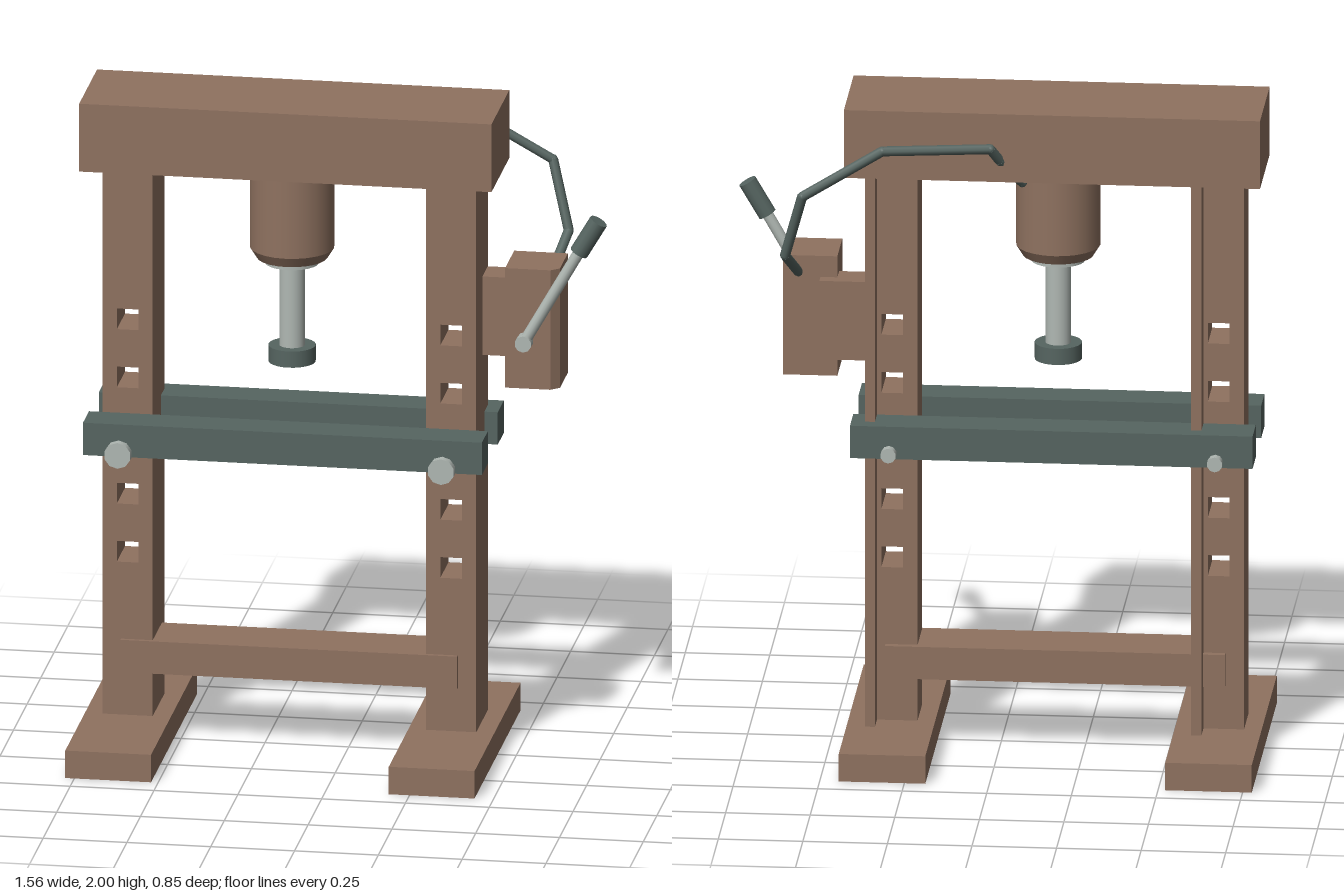
import * as THREE from 'three';

export function createModel() {
  const model = new THREE.Group();
  const mat = (name, color, flat = false) => {
    const m = new THREE.MeshStandardMaterial({ color, flatShading: flat });
    m.name = name;
    return m;
  };
  const paint = mat('brown paint', 0x8f7260);
  const darkSteel = mat('dark steel', 0x566561);
  const steel = mat('bright steel', 0xb0b8b3);

  const add = (name, geometry, material, parent = model) => {
    const mesh = new THREE.Mesh(geometry, material);
    mesh.name = name;
    parent.add(mesh);
    return mesh;
  };
  // Box given by its limits on each axis
  const box = (name, [x0, x1], [y0, y1], [z0, z1], material, parent) => {
    const mesh = add(name, new THREE.BoxGeometry(x1 - x0, y1 - y0, z1 - z0), material, parent);
    mesh.position.set((x0 + x1) / 2, (y0 + y1) / 2, (z0 + z1) / 2);
    return mesh;
  };
  // Cylinder between two points
  const rod = (name, a, b, radius, material, sides = 12, parent = model) => {
    const from = new THREE.Vector3(...a), to = new THREE.Vector3(...b);
    const dir = to.clone().sub(from);
    const mesh = add(name, new THREE.CylinderGeometry(radius, radius, dir.length(), sides), material, parent);
    mesh.position.copy(from).add(to).multiplyScalar(0.5);
    mesh.quaternion.setFromUnitVectors(new THREE.Vector3(0, 1, 0), dir.normalize());
    return mesh;
  };
  const rectangle = (Type, x0, x1, y0, y1) => {
    const s = new Type();
    s.moveTo(x0, y0);
    s.lineTo(x1, y0);
    s.lineTo(x1, y1);
    s.lineTo(x0, y1);
    s.closePath();
    return s;
  };

  // Two uprights with adjustment holes, a rear flange, a foot and a bed pin each
  for (const [side, x] of [['right', -0.65], ['left', 0.315]]) {
    const upright = new THREE.Group();
    upright.name = side + 'Upright';
    model.add(upright);
    const face = rectangle(THREE.Shape, x - 0.075, x + 0.075, 0.085, 1.79);
    for (let i = 0; i < 5; i++) {
      const y = 0.59 + i * 0.18;
      face.holes.push(rectangle(THREE.Path, x - 0.032, x + 0.032, y - 0.032, y + 0.032));
    }
    const column = new THREE.ExtrudeGeometry(face, { depth: 0.15, bevelEnabled: false });
    column.translate(0, 0, -0.09);
    add('column', column, paint, upright);
    box('rearFlange', [x + 0.045, x + 0.075], [0.085, 1.79], [-0.16, -0.09], paint, upright);
    box('foot', [x - 0.127, x + 0.129], [0, 0.085], [-0.425, 0.425], paint, upright);
    rod('bedPin', [x, 0.948, -0.23], [x, 0.948, 0.23], 0.023, steel, 10, upright);
    rod('pinHead', [x, 0.948, 0.225], [x, 0.948, 0.25], 0.04, steel, 10, upright);
  }

  // Head beam, lower brace and bed rails
  box('headBeam', [-0.78, 0.45], [1.79, 2], [-0.18, 0.15], paint);
  box('lowerBrace', [-0.67, 0.335], [0.22, 0.32], [-0.11, 0.072], paint);
  box('frontBedRail', [-0.76, 0.43], [0.93, 1.03], [0.092, 0.203], darkSteel);
  box('backBedRail', [-0.76, 0.43], [0.93, 1.03], [-0.203, -0.09], darkSteel);

  // Ram: cylinder with tapered end, collar, piston and pressing foot
  const ram = new THREE.Group();
  ram.name = 'ram';
  ram.position.set(-0.168, 0, 0.005);
  model.add(ram);
  const stack = (name, rTop, rBottom, y0, y1, material) => {
    const mesh = add(name, new THREE.CylinderGeometry(rTop, rBottom, y1 - y0, 24), material, ram);
    mesh.position.y = (y0 + y1) / 2;
  };
  stack('cylinderBody', 0.125, 0.125, 1.545, 1.79, paint);
  stack('cylinderTaper', 0.125, 0.105, 1.513, 1.545, paint);
  stack('collar', 0.08, 0.08, 1.495, 1.513, steel);
  stack('piston', 0.038, 0.038, 1.24, 1.495, steel);
  stack('pressingFoot', 0.07, 0.07, 1.19, 1.24, darkSteel);

  // Hand pump: body with one bevelled corner, on a bracket
  const pump = new THREE.Group();
  pump.name = 'handPump';
  model.add(pump);
  const plan = new THREE.Shape();
  plan.moveTo(0.475, 0.115);
  plan.lineTo(0.475, -0.053);
  plan.lineTo(0.61, -0.053);
  plan.lineTo(0.635, -0.03);
  plan.lineTo(0.635, 0.115);
  plan.closePath();
  const body = new THREE.ExtrudeGeometry(plan, { depth: 0.37, bevelEnabled: false });
  body.rotateX(-Math.PI / 2);
  body.translate(0, 1.155, 0);
  add('pumpBody', body, paint, pump);
  box('pumpBracket', [0.385, 0.525], [1.217, 1.46], [-0.153, -0.055], paint, pump);

  // Pump lever
  rod('leverPivot', [0.535, 1.305, 0.04], [0.535, 1.305, 0.096], 0.025, steel, 10, pump);
  rod('leverRod', [0.535, 1.305, 0.07], [0.705, 1.603, 0.07], 0.017, steel, 12, pump);
  rod('leverGrip', [0.698, 1.59, 0.07], [0.757, 1.69, 0.07], 0.028, darkSteel, 12, pump);

  // Hose from the pump to the cylinder, in straight runs with round joints
  const hose = new THREE.Group();
  hose.name = 'hose';
  model.add(hose);
  const path = [
    [0.59, 1.47, -0.105], [0.62, 1.56, -0.225], [0.565, 1.76, -0.278], [0.33, 1.9, -0.255],
    [0.015, 1.9, -0.207], [-0.01, 1.855, -0.175], [-0.07, 1.765, -0.1],
  ];
  path.slice(1).forEach((p, i) => {
    rod('hoseRun', path[i], p, 0.015, darkSteel, 8, hose);
    add('hoseJoint', new THREE.SphereGeometry(0.015, 8, 6), darkSteel, hose).position.set(...p);
  });

  return model;
}
